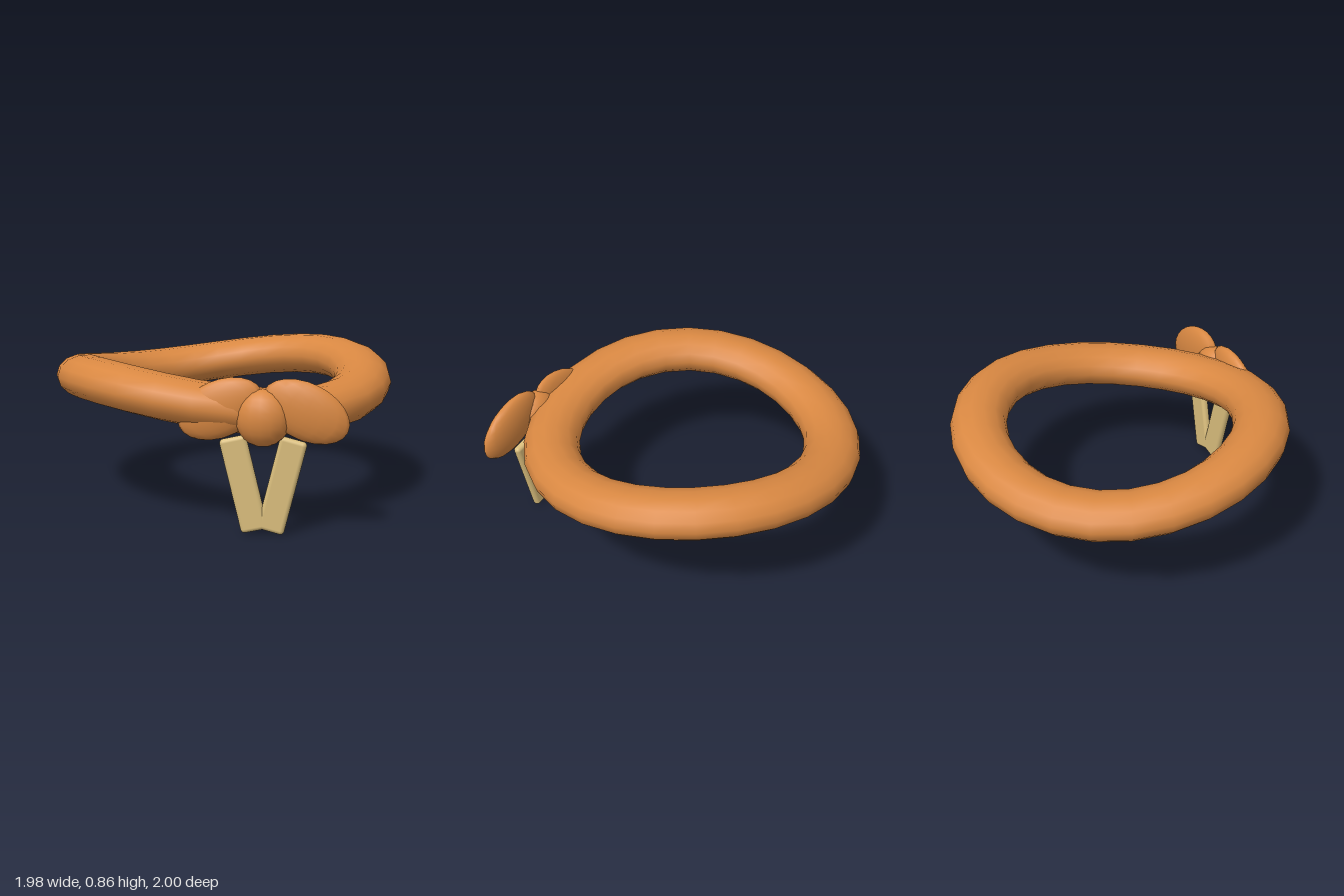
import * as THREE from 'three';
import { mergeVertices } from 'three/addons/utils/BufferGeometryUtils.js';
import { RoundedBoxGeometry } from 'three/addons/geometries/RoundedBoxGeometry.js';

const BOW_X = 0.36;

// Wavy ring: a flattened torus whose height rises and falls twice around
function ringGeometry() {
  const tube = 0.165, halfHeight = 0.125, wave = 0.06;
  let g = new THREE.TorusGeometry(0.825, tube, 14, 28).rotateX(Math.PI / 2);
  const p = g.attributes.position;
  for (let i = 0; i < p.count; i++) {
    const angle = Math.atan2(p.getZ(i), p.getX(i));
    p.setY(i, p.getY(i) * halfHeight / tube - wave * Math.sin(2 * angle));
  }
  g.deleteAttribute('uv');
  g.deleteAttribute('normal');
  g = mergeVertices(g, 1e-4);
  g.computeVertexNormals();
  return g;
}

export function createModel() {
  const orange = new THREE.MeshStandardMaterial({ name: 'orange', color: 0xd98842 });
  const straw = new THREE.MeshStandardMaterial({ name: 'straw', color: 0xd9bd7c });
  const model = new THREE.Group();
  model.name = 'wreathWithBow';

  const add = (name, geometry, material, x, y, z) => {
    const mesh = new THREE.Mesh(geometry, material);
    mesh.name = name;
    mesh.position.set(x, y, z);
    model.add(mesh);
    return mesh;
  };

  add('ring', ringGeometry(), orange, 0, 0.68, -0.01);

  // Bow knot
  const ball = new THREE.SphereGeometry(1, 16, 12);
  add('bowKnot', ball, orange, BOW_X, 0.63, 0.89).scale.set(0.148, 0.153, 0.105);

  // Bow loops and hanging tails, mirrored about the knot
  const tailGeometry = new RoundedBoxGeometry(0.147, 0.52, 0.048, 3, 0.022);
  for (const side of [-1, 1]) {
    const label = side > 0 ? 'left' : 'right';
    const loop = add(label + 'BowLoop', ball, orange, BOW_X + side * 0.224, 0.67, 0.893);
    loop.scale.set(0.242, 0.15, 0.06);
    loop.rotation.z = -side * 0.44;
    const tail = add(label + 'BowTail', tailGeometry, straw, BOW_X + side * 0.102, 0.265, 0.873);
    tail.rotation.z = -side * 0.24;
  }
  return model;
}
